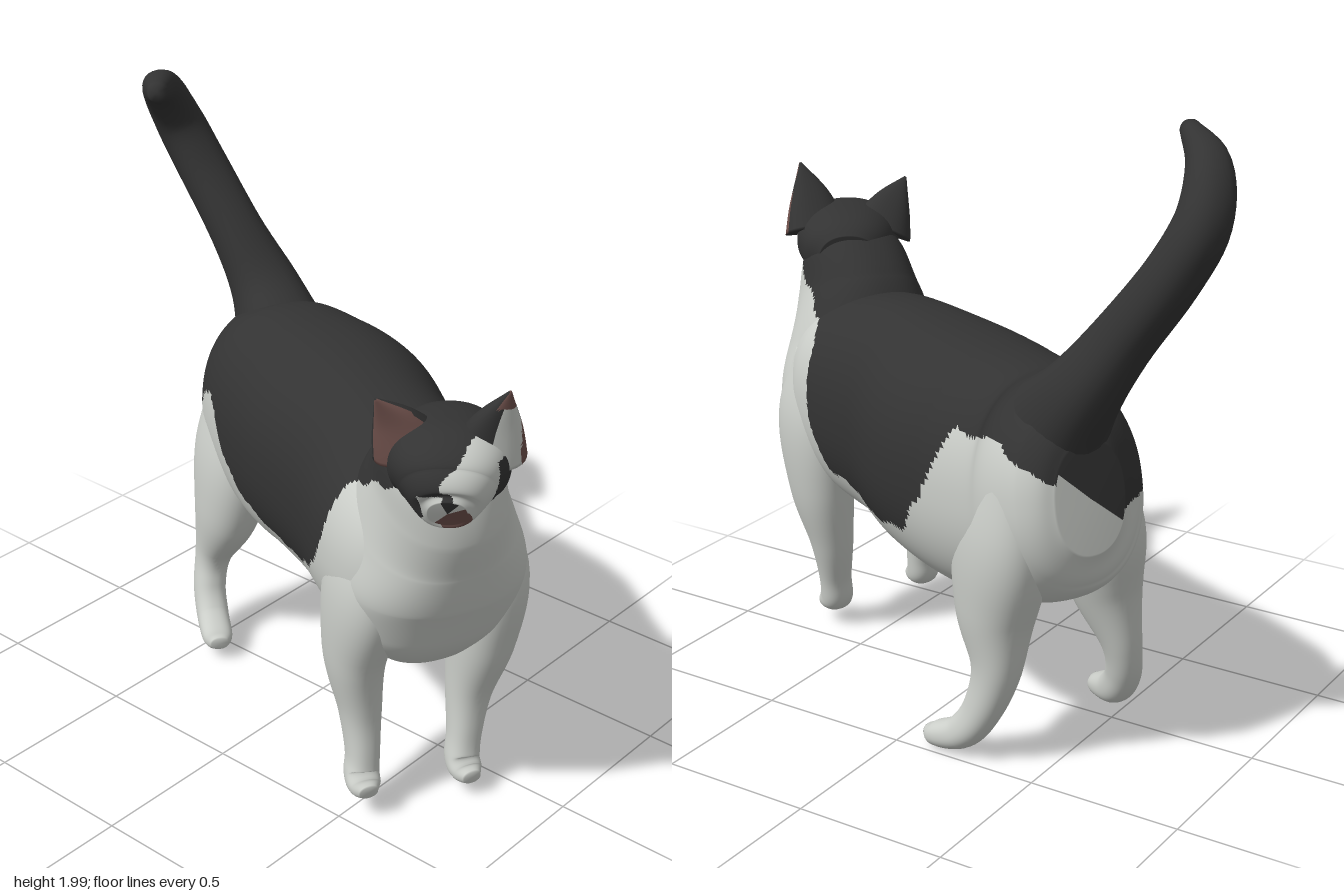
import * as THREE from 'three';

const V = (x, y, z) => new THREE.Vector3(x, y, z);
const mat = (name, color) => {
  const m = new THREE.MeshStandardMaterial({ color });
  m.name = name;
  return m;
};

// Directions: the cat's own right side, the head's right side, and where the face looks
const SIDE = V(-0.43, 0, 0.9).normalize();
const HEAD_SIDE = V(-0.8, 0, 0.6);
const LEFT_EAR_SIDE = V(-0.6, 0, 0.8);
const FACE = V(0.6, 0, 0.8);
const DARK = 0, WHITE = 1, PINK = 2;

// Height of the dark coat's lower edge along each flank: [distance along body, y]
const RIGHT_EDGE = [[-0.75, 0.88], [-0.55, 0.9], [-0.45, 1.0], [-0.38, 0.93], [-0.3, 0.82], [-0.15, 0.72], [0, 0.68],
  [0.2, 0.68], [0.36, 0.75], [0.46, 0.82], [0.52, 0.95], [0.56, 1.12], [0.7, 1.2], [0.9, 1.27]];
const LEFT_EDGE = [[-0.75, 0.98], [-0.55, 1.08], [-0.4, 1.1], [-0.3, 0.87], [-0.2, 0.72], [0, 0.68],
  [0.42, 0.7], [0.5, 0.85], [0.54, 1.1], [0.7, 1.2], [0.9, 1.27]];

function lookUp(table, s) {
  if (s <= table[0][0]) return table[0][1];
  for (let i = 1; i < table.length; i++) {
    const [s0, y0] = table[i - 1], [s1, y1] = table[i];
    if (s < s1) return y0 + (y1 - y0) * (s - s0) / (s1 - s0);
  }
  return table[table.length - 1][1];
}

// Coat patches of the body, neck and legs
function coat(p) {
  const s = 0.9 * p.x + 0.43 * p.z;
  const right = -0.43 * p.x + 0.9 * (p.z + 0.11);
  const edge = lookUp(right > 0 ? RIGHT_EDGE : LEFT_EDGE, s) + 0.008 * Math.sin(s * 45);
  return p.y > edge ? DARK : WHITE;
}

// Patches of the head: nose, eye marks, white muzzle, nose bridge, left cheek and brow
function headCoat(p) {
  if (p.distanceTo(V(0.925, 1.215, 0.51)) < 0.052) return PINK;
  if (p.distanceTo(V(0.835, 1.355, 0.49)) < 0.028) return PINK;
  if (p.distanceTo(V(0.93, 1.34, 0.44)) < 0.03) return DARK;
  if (p.y < 1.23 + 0.012 * Math.sin(p.x * 60)) return WHITE;
  if (p.z > 0.4 && Math.abs(p.x - 0.87) < 0.03 && p.y < 1.31) return WHITE;
  const band = p.z < 0.4 && p.y < 1.39;
  return p.x > 0.915 + 0.012 * Math.sin(p.y * 50) && p.z > 0.26 && !band ? WHITE : DARK;
}

// Ears: the right one is bare inside, the left one white outside with a bare tip and edge
const rightEarCoat = (p, n) => (n.dot(FACE) > 0.4 ? PINK : DARK);
function leftEarCoat(p, n) {
  if (n.x < 0.4) return DARK;
  if (p.y > 1.535 || p.z < 0.3) return PINK;
  return n.x > 0.75 ? WHITE : DARK;
}

const allDark = () => DARK;

// Skin over oval sections. Each station is [x, y, z, half width along side, half depth]
function loft(name, stations, side, paint, materials, radial = 40, sub = 7, power = 0.9) {
  const path = new THREE.CatmullRomCurve3(stations.map(q => V(q[0], q[1], q[2])), false, 'catmullrom');
  const size = new THREE.CatmullRomCurve3(stations.map(q => V(q[3], q[4], 0)), false, 'catmullrom');
  const steps = (stations.length - 1) * sub;
  const round = v => Math.sign(v) * Math.abs(v) ** power;
  const points = [];
  for (let k = -1; k <= steps + 1; k++) {
    const t = Math.min(Math.max(k / steps, 0), 1);
    const capped = k < 0 || k > steps ? 0 : 1;
    const c = path.getPoint(t), r = size.getPoint(t), tan = path.getTangent(t);
    const s = side.clone().addScaledVector(tan, -side.dot(tan)).normalize();
    const b = tan.clone().cross(s);
    for (let j = 0; j < radial; j++) {
      const a = j / radial * Math.PI * 2;
      points.push(c.clone()
        .addScaledVector(s, capped * Math.max(r.x, 0) * round(Math.cos(a)))
        .addScaledVector(b, capped * Math.max(r.y, 0) * round(Math.sin(a))));
    }
  }
  // Sort the faces by coat colour
  const faces = [[], [], []];
  const tri = new THREE.Triangle(), mid = V(0, 0, 0), normal = V(0, 0, 0);
  const addFace = (i, j, k) => {
    tri.set(points[i], points[j], points[k]);
    if (tri.getArea() < 1e-10) return;
    tri.getMidpoint(mid);
    tri.getNormal(normal);
    faces[paint(mid, normal)].push(i, j, k);
  };
  for (let i = 0; i < steps + 2; i++) {
    for (let j = 0; j < radial; j++) {
      const j1 = (j + 1) % radial;
      const a = i * radial + j, b = i * radial + j1, c = b + radial, d = a + radial;
      addFace(a, b, c);
      addFace(a, c, d);
    }
  }
  const geo = new THREE.BufferGeometry().setFromPoints(points);
  geo.setIndex(faces.flat());
  let start = 0;
  faces.forEach((f, i) => {
    if (f.length) geo.addGroup(start, f.length, i);
    start += f.length;
  });
  geo.computeVertexNormals();
  const mesh = new THREE.Mesh(geo, materials);
  mesh.name = name;
  return mesh;
}

export function createModel() {
  const cat = new THREE.Group();
  cat.name = 'cat';
  const materials = [mat('darkFur', 0x333333), mat('whiteFur', 0xcbcec9), mat('pinkSkin', 0x6e504b)];
  const add = (name, stations, side, paint, ...detail) =>
    cat.add(loft(name, stations, side, paint, materials, ...detail));

  // Trunk, from rump to chest
  add('body', [
    [-0.625, 0.93, -0.385, 0.12, 0.17], [-0.565, 0.92, -0.355, 0.215, 0.28], [-0.42, 0.89, -0.27, 0.285, 0.365],
    [-0.2, 0.88, -0.19, 0.325, 0.395], [0, 0.895, -0.11, 0.335, 0.39], [0.25, 0.895, 0.03, 0.295, 0.38],
    [0.45, 0.885, 0.14, 0.3, 0.365], [0.6, 0.89, 0.22, 0.29, 0.33], [0.72, 0.89, 0.275, 0.23, 0.26],
    [0.79, 0.89, 0.31, 0.11, 0.13],
  ], SIDE, coat, 140, 16);

  // Chest and neck, rising from between the front legs into the head
  add('chestAndNeck', [
    [0.59, 0.58, 0.2, 0.17, 0.12], [0.61, 0.7, 0.215, 0.25, 0.19], [0.625, 0.86, 0.225, 0.285, 0.245],
    [0.65, 1.04, 0.255, 0.24, 0.26], [0.705, 1.19, 0.305, 0.19, 0.235], [0.755, 1.32, 0.35, 0.16, 0.155],
    [0.78, 1.38, 0.37, 0.08, 0.07],
  ], SIDE, coat, 100, 16);

  // Head, from the back of the skull to the muzzle: [distance forward, y, half width, half height]
  const head = [
    [-0.17, 1.31, 0.1, 0.09], [-0.1, 1.325, 0.15, 0.12], [0, 1.335, 0.175, 0.13], [0.08, 1.325, 0.168, 0.14],
    [0.13, 1.295, 0.135, 0.125], [0.17, 1.26, 0.095, 0.09], [0.19, 1.25, 0.055, 0.052],
  ].map(([d, y, w, h]) => [0.787 + FACE.x * d, y, 0.368 + FACE.z * d, w, h]);
  add('head', head, HEAD_SIDE, headCoat, 100, 18);

  // Ears
  add('rightEar', [[0.7, 1.37, 0.445, 0.11, 0.08], [0.685, 1.46, 0.495, 0.065, 0.04], [0.67, 1.54, 0.555, 0.004, 0.004]],
    HEAD_SIDE, rightEarCoat, 32, 12);
  add('leftEar', [[0.89, 1.37, 0.325, 0.11, 0.085], [0.93, 1.48, 0.345, 0.07, 0.045], [0.98, 1.59, 0.36, 0.004, 0.004]],
    LEFT_EAR_SIDE, leftEarCoat, 32, 12);

  // Tail, sweeping up and curling forward
  add('tail', [
    [-0.46, 1.1, -0.31, 0.15, 0.17], [-0.57, 1.24, -0.345, 0.115, 0.12], [-0.69, 1.41, -0.34, 0.09, 0.095],
    [-0.84, 1.62, -0.33, 0.085, 0.085], [-0.91, 1.78, -0.29, 0.08, 0.08], [-0.865, 1.91, -0.18, 0.065, 0.065],
    [-0.72, 1.97, -0.015, 0.03, 0.03],
  ], SIDE, allDark, 24, 6);

  // Legs, from inside the trunk down to the toes
  add('rightHindLeg', [
    [-0.475, 1.02, -0.145, 0.09, 0.13], [-0.48, 0.74, -0.095, 0.125, 0.185], [-0.495, 0.52, -0.06, 0.105, 0.145],
    [-0.555, 0.32, -0.05, 0.062, 0.073], [-0.55, 0.2, -0.02, 0.055, 0.06], [-0.5, 0.115, 0.02, 0.055, 0.055],
    [-0.42, 0.08, 0.08, 0.052, 0.038], [-0.385, 0.075, 0.105, 0.03, 0.022],
  ], SIDE, coat);
  add('leftHindLeg', [
    [-0.35, 1.03, -0.405, 0.09, 0.13], [-0.34, 0.76, -0.42, 0.125, 0.185], [-0.32, 0.52, -0.42, 0.11, 0.15],
    [-0.335, 0.33, -0.44, 0.072, 0.088], [-0.29, 0.18, -0.45, 0.055, 0.065], [-0.22, 0.085, -0.45, 0.055, 0.055],
    [-0.13, 0.05, -0.445, 0.052, 0.042], [-0.085, 0.045, -0.435, 0.03, 0.022],
  ], SIDE, coat);
  add('rightFrontLeg', [
    [0.505, 1.03, 0.345, 0.08, 0.12], [0.495, 0.8, 0.38, 0.11, 0.17], [0.46, 0.55, 0.385, 0.09, 0.125],
    [0.48, 0.35, 0.38, 0.065, 0.078], [0.505, 0.21, 0.395, 0.053, 0.058], [0.515, 0.14, 0.41, 0.055, 0.055],
    [0.55, 0.115, 0.435, 0.052, 0.035], [0.58, 0.11, 0.45, 0.03, 0.022],
  ], SIDE, coat);
  add('leftFrontLeg', [
    [0.68, 1.03, 0.07, 0.08, 0.12], [0.695, 0.8, 0.04, 0.11, 0.17], [0.68, 0.55, 0.04, 0.1, 0.135],
    [0.66, 0.35, 0.06, 0.072, 0.083], [0.67, 0.2, 0.09, 0.055, 0.058], [0.68, 0.115, 0.11, 0.055, 0.055],
    [0.715, 0.085, 0.13, 0.052, 0.035], [0.75, 0.08, 0.145, 0.03, 0.022],
  ], SIDE, coat);

  return cat;
}
